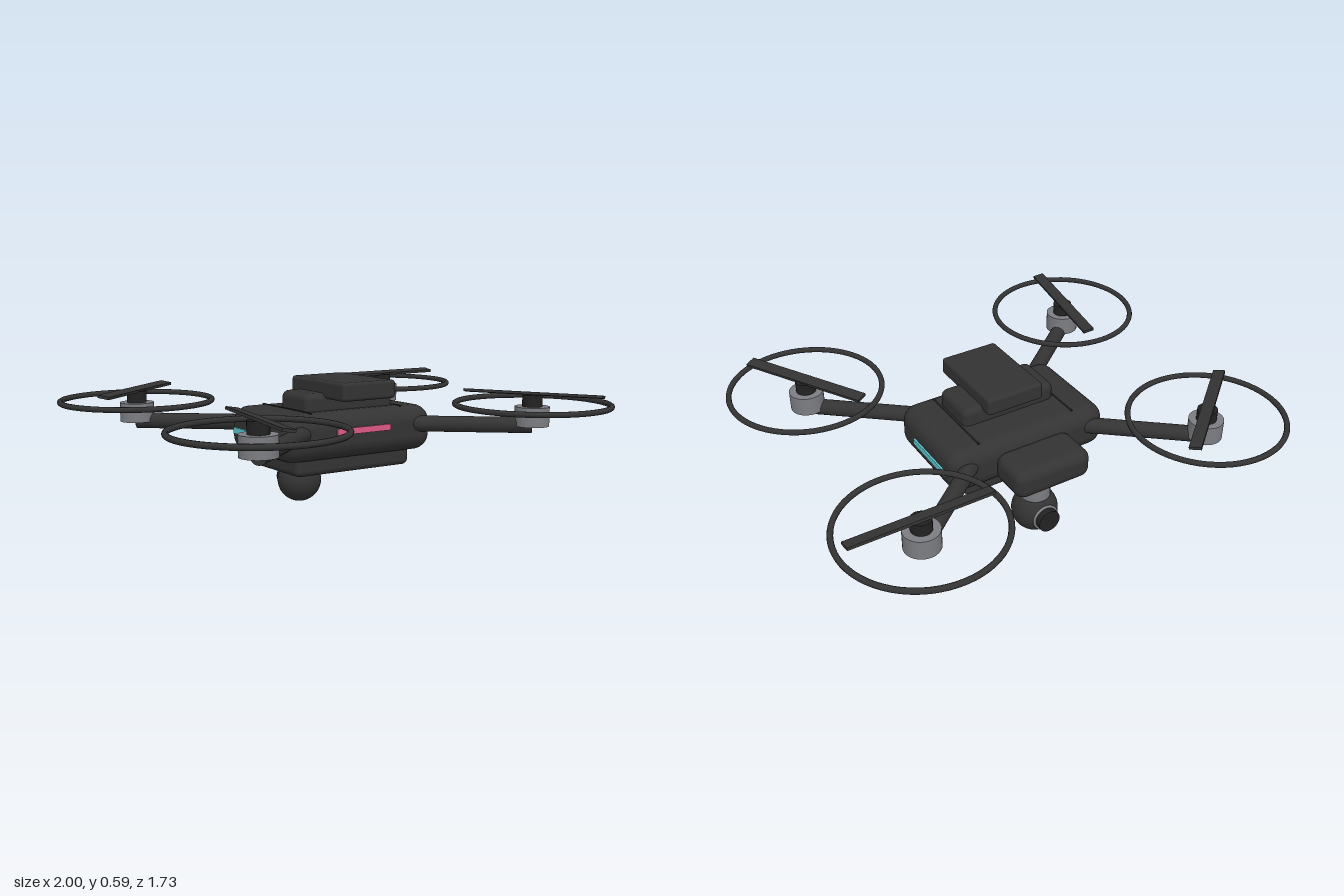
import * as THREE from 'three';
import { RoundedBoxGeometry } from 'three/addons/geometries/RoundedBoxGeometry.js';

const material = (name, color) => {
  const m = new THREE.MeshStandardMaterial({ color });
  m.name = name;
  return m;
};

export function createModel() {
  const shell = material('charcoal shell', 0x333333);
  const dark = material('dark trim', 0x222222);
  const metal = material('grey metal', 0x7b7d82);
  const pink = material('pink light', 0xdd5a86);
  const teal = material('teal light', 0x5fc9d2);

  const model = new THREE.Group();
  model.name = 'drone';

  const add = (name, geometry, mat, x, y, z, parent = model) => {
    const mesh = new THREE.Mesh(geometry, mat);
    mesh.name = name;
    mesh.position.set(x, y, z);
    parent.add(mesh);
    return mesh;
  };
  const rounded = (w, h, d, r) => new RoundedBoxGeometry(w, h, d, 3, r);

  // Fuselage and stacked covers
  add('body', rounded(0.745, 0.195, 0.48, 0.07), shell, 0, 0.37, 0);
  add('bellyPack', rounded(0.57, 0.1, 0.36, 0.025), shell, 0, 0.257, 0);
  add('topDeck', rounded(0.435, 0.11, 0.215, 0.03), shell, 0, 0.485, 0.042);
  add('topPlate', rounded(0.262, 0.076, 0.395, 0.014), shell, 0, 0.554, 0.086);
  add('rearPack', rounded(0.35, 0.13, 0.2, 0.045), shell, 0, 0.358, -0.318);

  // Seams, front light and side lights
  add('frontLight', new THREE.BoxGeometry(0.266, 0.026, 0.009), pink, 0, 0.391, 0.242);
  for (const s of [-1, 1]) {
    add('deckSeam', new THREE.BoxGeometry(0.008, 0.006, 0.38), dark, s * 0.225, 0.467, 0);
    add('sideLight', new THREE.BoxGeometry(0.009, 0.026, 0.265), teal, s * 0.376, 0.367, -0.045);
  }

  // Camera looking backwards, with its mount
  const camera = new THREE.Group();
  camera.name = 'camera';
  camera.position.set(0, 0.099, -0.262);
  model.add(camera);
  add('cameraMount', new THREE.CylinderGeometry(0.065, 0.065, 0.07, 32), metal, 0, 0.1, 0, camera);
  add('cameraBall', new THREE.SphereGeometry(0.099, 32, 24), shell, 0, 0, 0, camera);
  add('lensRing', new THREE.TorusGeometry(0.054, 0.006, 10, 32), metal, 0, 0, -0.085, camera);
  add('lens', new THREE.CylinderGeometry(0.05, 0.05, 0.06, 32), dark, 0, 0, -0.087, camera)
    .rotation.x = Math.PI / 2;

  // Four rotors: side, front or back, blade angle in degrees
  const rotors = [[1, -1, 0], [-1, -1, 40], [-1, 1, 80], [1, 1, 120]];
  for (const [sx, sz, angle] of rotors) {
    const rotor = new THREE.Group();
    rotor.name = 'rotor';
    rotor.position.set(sx * 0.662, 0, sz * 0.53);
    model.add(rotor);

    // Arm from inside the body to the motor centre
    const reach = new THREE.Vector3(-sx * 0.43, 0, -sz * 0.355);
    const arm = add('arm', new THREE.CylinderGeometry(0.034, 0.034, reach.length(), 20),
      shell, reach.x / 2, 0.39, reach.z / 2, rotor);
    arm.quaternion.setFromUnitVectors(new THREE.Vector3(0, 1, 0), reach.clone().normalize());

    add('motor', new THREE.CylinderGeometry(0.073, 0.073, 0.082, 28), metal, 0, 0.429, 0, rotor);
    add('hub', new THREE.CylinderGeometry(0.042, 0.042, 0.055, 24), dark, 0, 0.492, 0, rotor);
    add('guardRing', new THREE.TorusGeometry(0.324, 0.012, 10, 64), shell, 0, 0.478, 0, rotor)
      .rotation.x = Math.PI / 2;

    // Slightly pitched two-ended blade
    const blade = add('blade', new THREE.BoxGeometry(0.592, 0.012, 0.05), shell, 0, 0.524, 0, rotor);
    blade.rotation.set(0.16, THREE.MathUtils.degToRad(angle), 0, 'YXZ');
  }
  return model;
}
